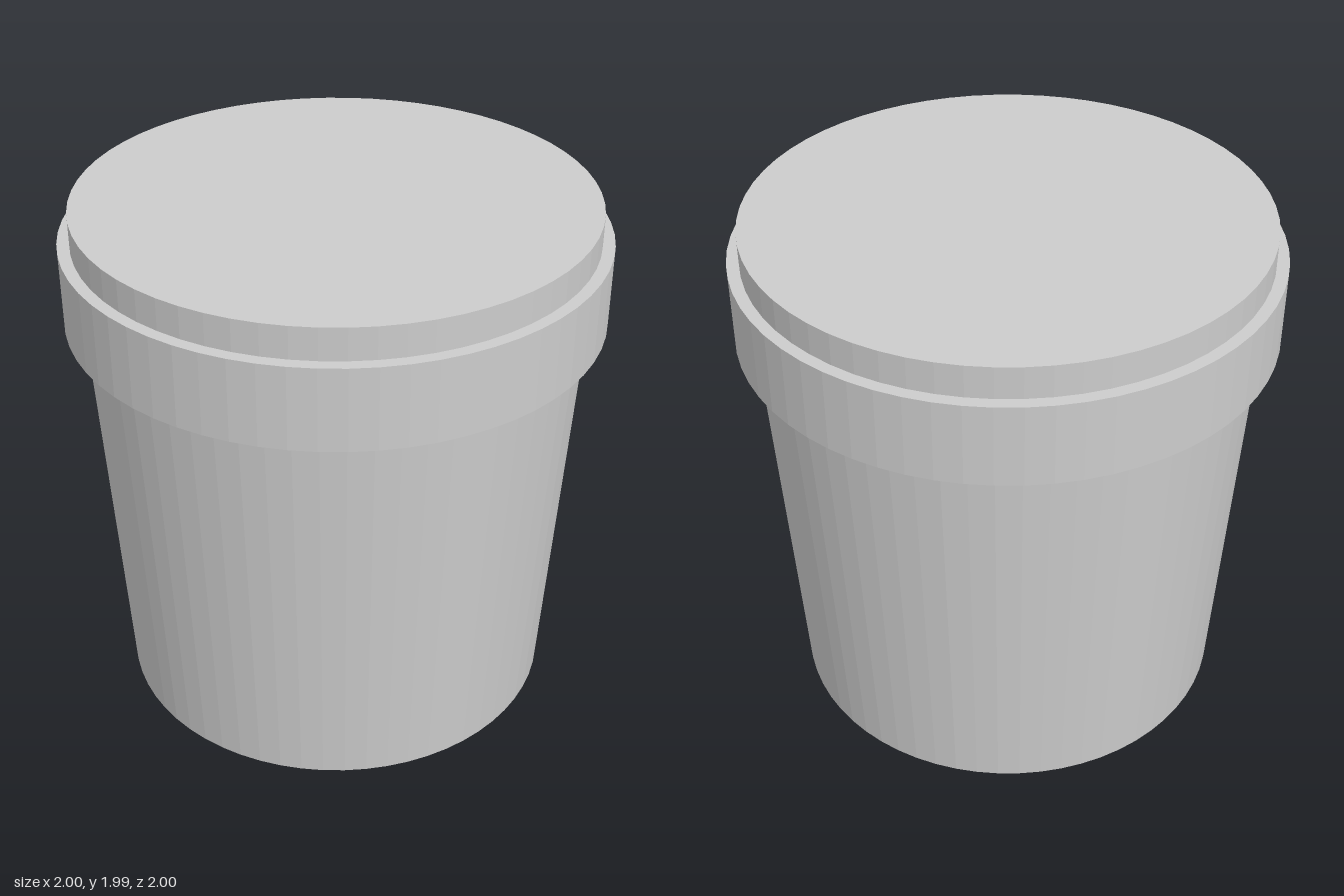
import * as THREE from 'three';

export function createModel() {
  const model = new THREE.Group();
  const grey = new THREE.MeshStandardMaterial({ color: 0xcccccc, flatShading: true });
  grey.name = 'lightGrey';

  // Solid of revolution from a [radius, height] profile, bottom to top
  const turned = (name, profile) => {
    const points = profile.map(([r, y]) => new THREE.Vector2(r, y));
    const mesh = new THREE.Mesh(new THREE.LatheGeometry(points, 64), grey);
    mesh.name = name;
    model.add(mesh);
  };

  // Tapered tub with a closed base
  turned('tub', [[0, 0], [0.84, 0], [0.93, 1.56]]);

  // Wide collar around the mouth of the tub
  turned('collar', [[0.93, 1.56], [1, 1.56], [1, 1.87], [0.955, 1.87]]);

  // Raised flat lid
  turned('lid', [[0.955, 1.87], [0.955, 1.99], [0, 1.99]]);

  return model;
}
